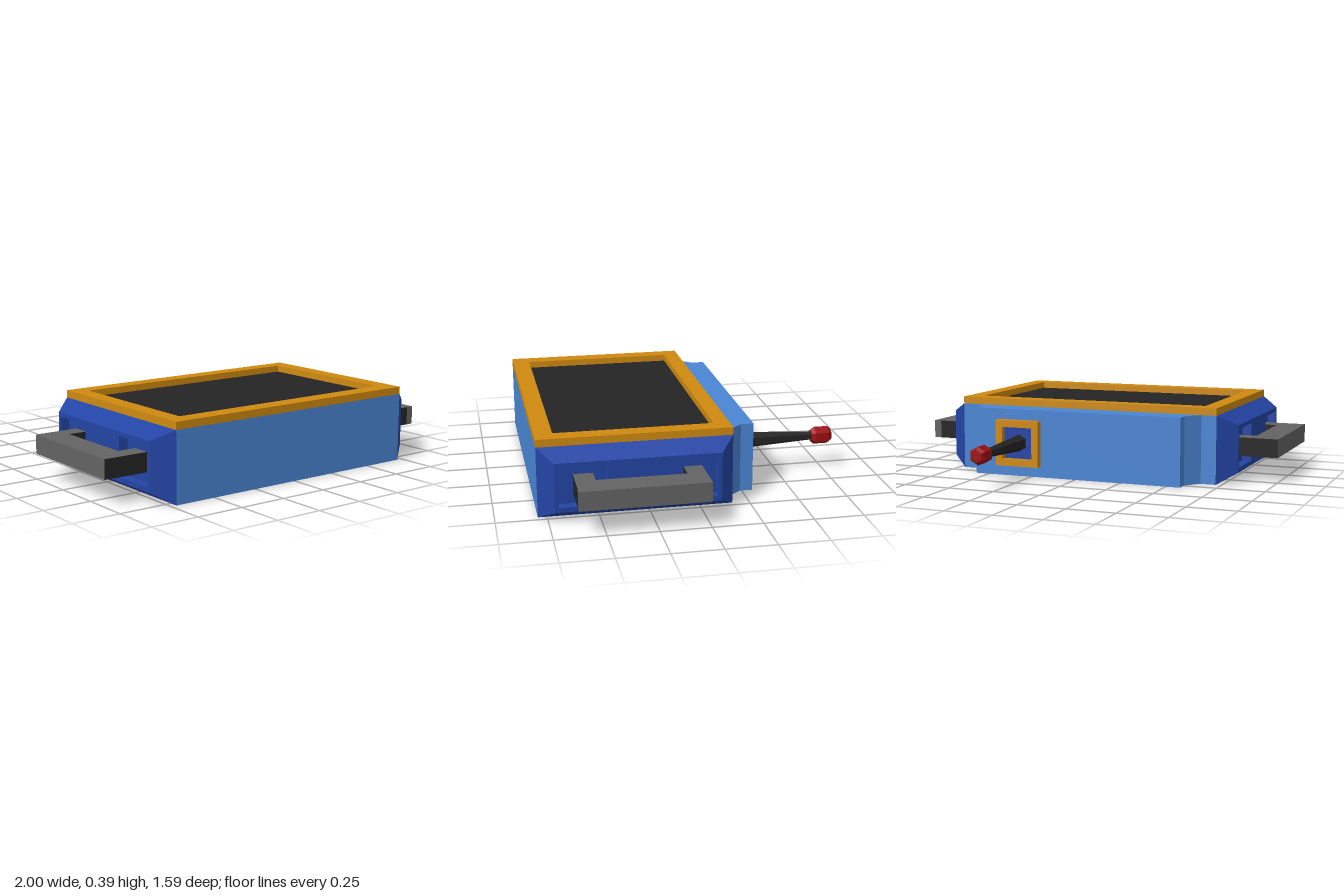
import * as THREE from 'three';

const paint = (name, color, extra = {}) => Object.assign(new THREE.MeshStandardMaterial({ color, ...extra }), { name });

export function createModel() {
  const blue = paint('light blue', 0x4a86d4);
  const navy = paint('dark blue', 0x2344a4);
  const orange = paint('orange', 0xcf8a10);
  const black = paint('black', 0x242424);
  const grey = paint('grey', 0x636363);
  const red = paint('red', 0x9c0f12);

  const model = new THREE.Group();
  model.name = 'handheldDevice';

  function add(name, geometry, material, x = 0, y = 0, z = 0, parent = model) {
    const mesh = new THREE.Mesh(geometry, material);
    mesh.name = name;
    mesh.position.set(x, y, z);
    parent.add(mesh);
    return mesh;
  }
  // box given by its lower and upper corners
  function box(name, material, [x0, y0, z0], [x1, y1, z1], parent) {
    return add(name, new THREE.BoxGeometry(x1 - x0, y1 - y0, z1 - z0), material,
      (x0 + x1) / 2, (y0 + y1) / 2, (z0 + z1) / 2, parent);
  }
  const rect = (x0, y0, x1, y1) =>
    [[x0, y0], [x1, y0], [x1, y1], [x0, y1]].map(p => new THREE.Vector2(...p));
  // rectangular plate with rectangular holes
  function plate(outer, holes, depth) {
    const shape = new THREE.Shape(rect(...outer));
    holes.forEach(h => shape.holes.push(new THREE.Path(rect(...h))));
    return new THREE.ExtrudeGeometry(shape, { depth, bevelEnabled: false });
  }
  const facet = geometry => {
    const flat = geometry.toNonIndexed();
    flat.computeVertexNormals();
    return flat;
  };

  // case with the narrower stepped block at the back
  const half = [[0.72, 0.795], [0.72, -0.165], [0.64, -0.165], [0.575, -0.24], [0.575, -0.305]];
  const outline = [...half, ...half.map(([x, z]) => [-x, z]).reverse()].map(p => new THREE.Vector2(...p));
  const caseGeometry = new THREE.ExtrudeGeometry(new THREE.Shape(outline), { depth: 0.355, bevelEnabled: false });
  caseGeometry.rotateX(Math.PI / 2);
  add('case', caseGeometry, blue, 0, 0.355, 0);

  // screen and its raised frame
  const bezel = plate([-0.72, -0.165, 0.72, 0.795], [[-0.637, -0.085, 0.637, 0.705]], 0.038);
  bezel.rotateX(Math.PI / 2);
  add('screenFrame', bezel, orange, 0, 0.393, 0);
  box('screen', black, [-0.645, 0.35, -0.095], [0.645, 0.359, 0.715]);

  // bevelled side caps with two sockets and a handle each
  const sockets = [[-0.07, 0.08, 0.165, 0.28], [0.465, 0.08, 0.7, 0.28]];
  for (const s of [1, -1]) {
    const side = new THREE.Group();
    side.name = s > 0 ? 'leftSide' : 'rightSide';
    model.add(side);

    const inner = rect(-0.165, 0, 0.795, 0.355), outer = rect(-0.09, 0.055, 0.72, 0.302);
    const verts = [];
    for (let i = 0; i < 4; i++) {
      const j = (i + 1) % 4;
      const a = [s * 0.72, inner[i].y, inner[i].x], b = [s * 0.72, inner[j].y, inner[j].x];
      const c = [s * 0.815, outer[j].y, outer[j].x], d = [s * 0.815, outer[i].y, outer[i].x];
      verts.push(...(s > 0 ? [a, c, b, a, d, c] : [a, b, c, a, c, d]).flat());
    }
    const bevel = new THREE.BufferGeometry();
    bevel.setAttribute('position', new THREE.Float32BufferAttribute(verts, 3));
    bevel.computeVertexNormals();
    add('sideBevel', bevel, navy, 0, 0, 0, side);

    const face = plate([-0.09, 0.055, 0.72, 0.302], sockets, 0.05);
    face.rotateY(-Math.PI / 2);
    add('sidePanel', face, navy, s > 0 ? 0.815 : -0.765, 0, 0, side);
    const span = (name, mat, xa, xb, y0, y1, z0, z1) =>
      box(name, mat, [Math.min(s * xa, s * xb), y0, z0], [Math.max(s * xa, s * xb), y1, z1], side);
    span('socketFloor', navy, 0.722, 0.767, 0.06, 0.295, -0.085, 0.715);

    // handle arms are black on their front and back faces
    const armSides = [grey, grey, grey, grey, black, black];
    const armEnd = s > 0 ? 0.96 : 1;
    for (const [z0, z1] of [[0, 0.092], [0.53, 0.627]]) {
      span('handleArm', armSides, 0.76, armEnd, 0.13, 0.227, z0, z1);
      if (s > 0) span('handleCorner', grey, 0.96, 1, 0.13, 0.227, z0, z1);
    }
    span('handleGrip', grey, 0.863, 1, 0.13, 0.227, 0.092, 0.53);
  }

  // antenna socket, six-sided rod and tip
  const ax = 0.318, ay = 0.178;
  add('antennaFrame', plate([-0.122, -0.122, 0.122, 0.122], [[-0.085, -0.085, 0.085, 0.085]], 0.037),
    orange, ax, ay, -0.341);
  box('antennaSocket', navy, [ax - 0.09, ay - 0.09, -0.31], [ax + 0.09, ay + 0.09, -0.303]);

  const rod = facet(new THREE.CylinderGeometry(0.022, 0.045, 0.39, 6));
  rod.rotateX(-Math.PI / 2);
  add('antennaRod', rod, black, ax, ay, -0.5);

  const profile = [[0, 0], [0.032, 0], [0.047, 0.018], [0.047, 0.09], [0.032, 0.108], [0, 0.108]];
  const tip = facet(new THREE.LatheGeometry(profile.map(p => new THREE.Vector2(...p)), 6));
  tip.rotateX(-Math.PI / 2);
  add('antennaTip', tip, red, ax, ay, -0.687);

  return model;
}
